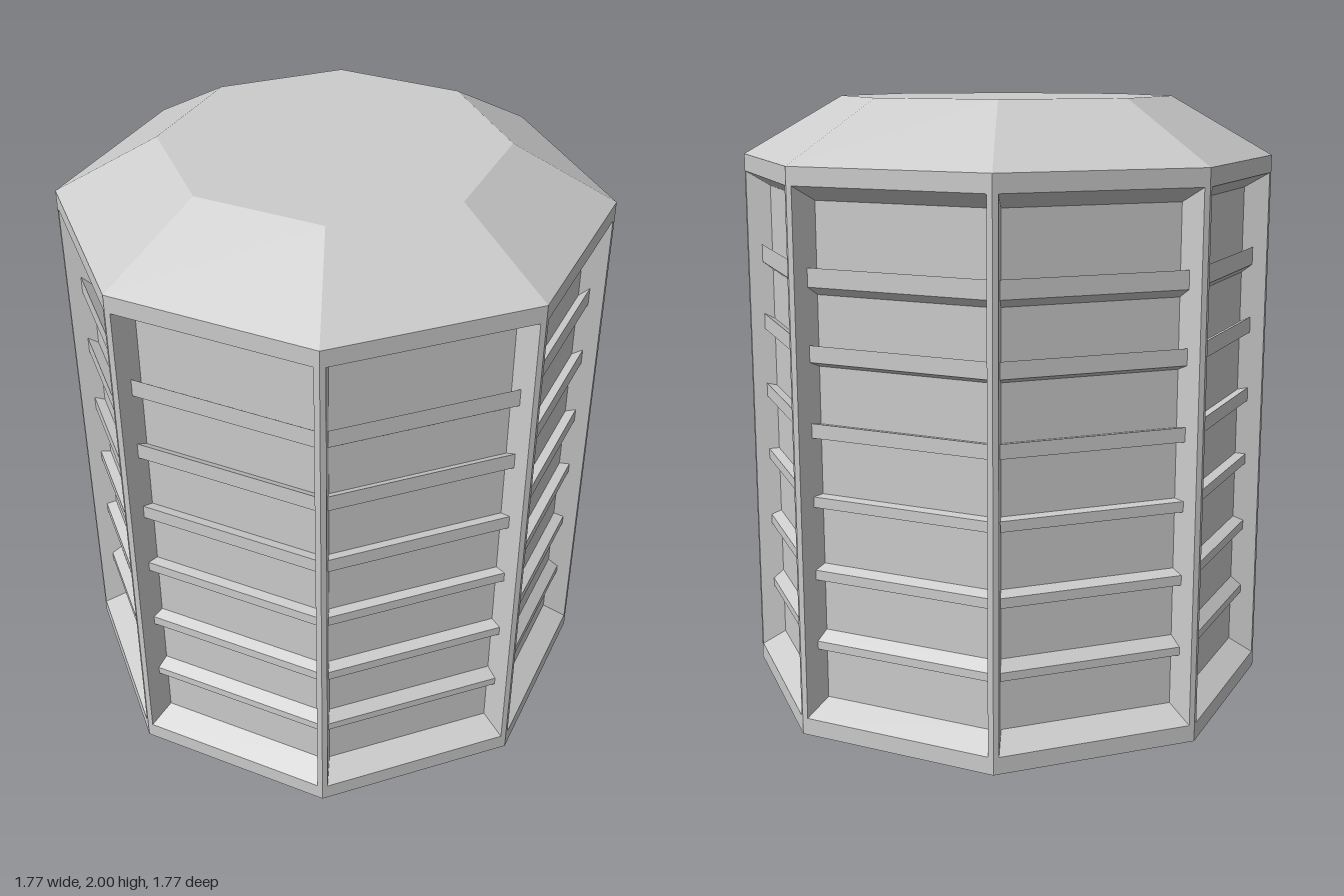
import * as THREE from 'three';

const SIDES = 8, RADIUS = 0.884, EAVES = 1.807;
const APOTHEM = RADIUS * Math.cos(Math.PI / SIDES);
const HALF = RADIUS * Math.sin(Math.PI / SIDES);
const DEPTH = 0.075;

// sharp facets: split vertices and recompute normals
function faceted(geometry) {
  const g = geometry.index ? geometry.toNonIndexed() : geometry;
  g.computeVertexNormals();
  return g;
}

// rectangle corners, anticlockwise seen from outside
const rect = (half, y0, y1, z) => [[-half, y0, z], [half, y0, z], [half, y1, z], [-half, y1, z]];

// band of four quads joining an outer rectangle to an inner one
function band(outer, inner) {
  const p = [];
  for (let i = 0; i < 4; i++) {
    const j = (i + 1) % 4;
    p.push(...outer[i], ...outer[j], ...inner[j], ...outer[i], ...inner[j], ...inner[i]);
  }
  const g = new THREE.BufferGeometry();
  g.setAttribute('position', new THREE.Float32BufferAttribute(p, 3));
  return faceted(g);
}

// slat that tapers into the recess, its back edge shifted up or down
function slatGeometry(y0, y1, backShift) {
  const g = new THREE.BoxGeometry(1, 1, 1);
  const p = g.attributes.position;
  for (let i = 0; i < p.count; i++) {
    const front = p.getZ(i) > 0;
    const half = front ? 0.3 : 0.286;
    p.setXYZ(i, Math.sign(p.getX(i)) * half,
      (p.getY(i) > 0 ? y1 : y0) + (front ? 0 : backShift),
      front ? -0.043 : -DEPTH);
  }
  return faceted(g);
}

export function createModel() {
  const model = new THREE.Group();
  model.name = 'octagonalTower';
  const grey = new THREE.MeshStandardMaterial({ color: 0xcccccc });
  grey.name = 'grey';

  const add = (parent, geometry, name) => {
    const mesh = new THREE.Mesh(geometry, grey);
    mesh.name = name;
    parent.add(mesh);
    return mesh;
  };

  // sloped roof with a flat top, and the underside
  const roofHeight = 2 - EAVES;
  add(model, faceted(new THREE.CylinderGeometry(0.548, RADIUS, roofHeight, SIDES)), 'roof')
    .position.y = EAVES + roofHeight / 2;
  add(model, new THREE.CircleGeometry(RADIUS, SIDES).rotateX(Math.PI / 2), 'base');

  // geometry shared by all eight walls
  const outer = rect(HALF, 0, EAVES, 0);
  const opening = rect(0.32, 0.056, 1.75, 0);
  const back = rect(0.286, 0.108, 1.703, -DEPTH);
  const frame = band(outer, opening);
  const reveal = band(opening, back);
  const panel = new THREE.PlaneGeometry(0.572, 1.595).translate(0, 0.9055, -DEPTH);

  // front bottom, front top, back edge shift
  const slats = [
    [0.28, 0.307, 0.032], [0.513, 0.545, 0.016], [0.751, 0.785, 0.004],
    [0.974, 1.02, -0.006], [1.212, 1.265, -0.016], [1.444, 1.503, -0.026],
  ].map((s) => slatGeometry(...s));

  for (let k = 0; k < SIDES; k++) {
    const wall = new THREE.Group();
    wall.name = `wall${k + 1}`;
    const angle = ((k + 0.5) / SIDES) * Math.PI * 2;
    wall.rotation.y = angle;
    wall.position.set(Math.sin(angle) * APOTHEM, 0, Math.cos(angle) * APOTHEM);
    add(wall, frame, 'wallFrame');
    add(wall, reveal, 'recessSides');
    add(wall, panel, 'backPanel');
    slats.forEach((g, i) => add(wall, g, `slat${i + 1}`));
    model.add(wall);
  }
  return model;
}
